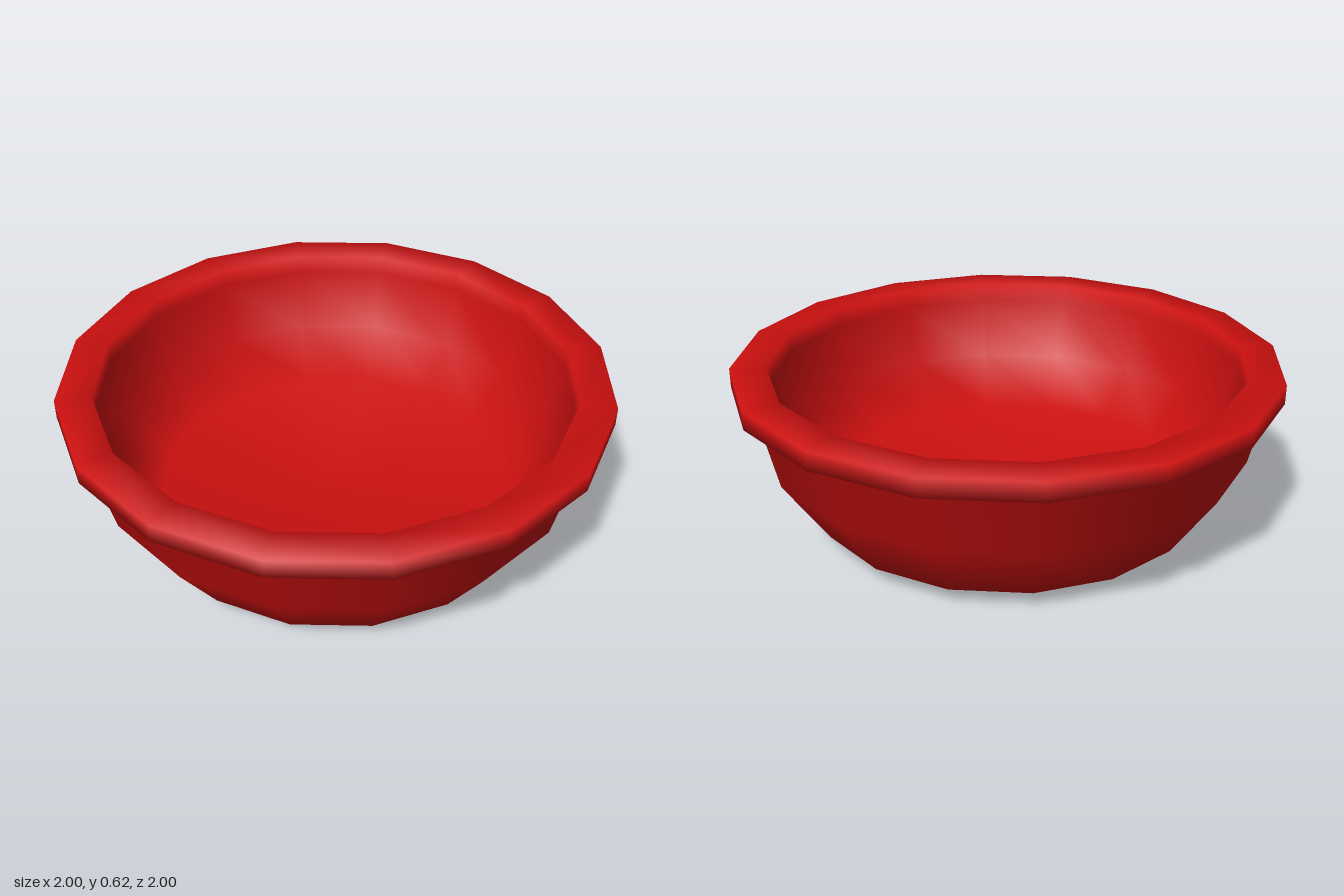
import * as THREE from 'three';

export function createModel() {
  const group = new THREE.Group();
  group.name = 'bowl';
  const red = new THREE.MeshStandardMaterial({ color: 0xcc1010 });
  red.name = 'red';

  // One closed profile: underside, outer wall, lip, inner wall, inner floor
  const profile = [
    [0, 0], [0.535, 0], [0.725, 0.065], [0.89, 0.31], [0.945, 0.55],
    [1, 0.55], [1, 0.62], [0.87, 0.62], [0.87, 0.55],
    [0.81, 0.31], [0.67, 0.13], [0, 0.1],
  ].map(([r, y]) => new THREE.Vector2(r, y));

  // Sixteen sides with smooth normals
  const shell = new THREE.Mesh(new THREE.LatheGeometry(profile, 16), red);
  shell.name = 'bowlShell';
  group.add(shell);
  return group;
}
